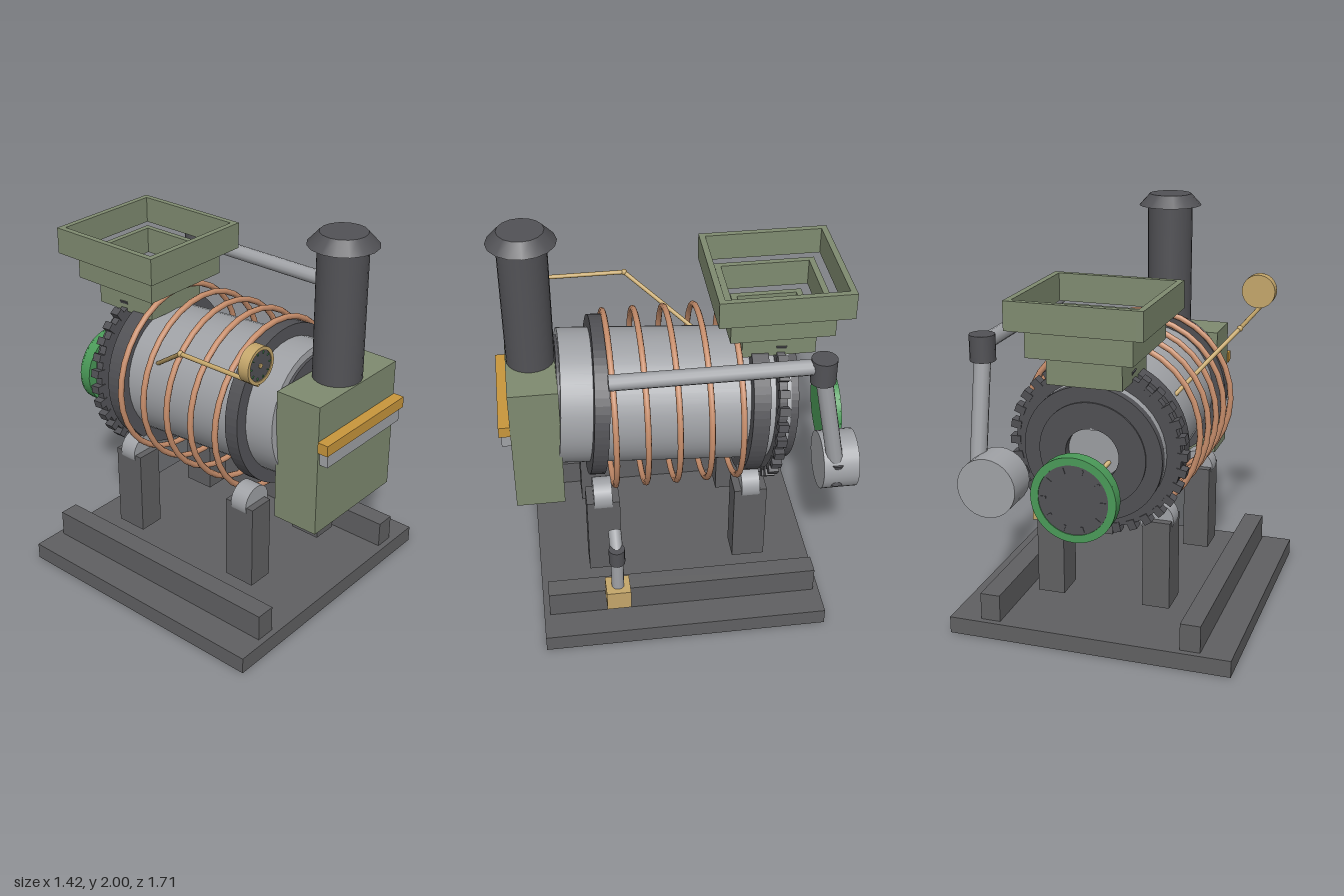
import * as THREE from 'three';

const mat = (name, color, side = THREE.FrontSide) => {
  const m = new THREE.MeshStandardMaterial({ color, side });
  m.name = name;
  return m;
};

export function createModel() {
  const iron = mat('iron', 0x606062);
  const darkIron = mat('dark iron', 0x525256);
  const steel = mat('steel', 0xa0a2a6);
  const olive = mat('olive paint', 0x7f8b70);
  const copper = mat('copper', 0xc98f6c);
  const amber = mat('amber', 0xc8963c);
  const brass = mat('brass', 0xc4a66a);
  const green = mat('bright green', 0x4a9a58);

  const model = new THREE.Group();
  model.name = 'rotaryRoaster';

  const add = (name, geo, material, pos = [0, 0, 0], parent = model) => {
    const mesh = new THREE.Mesh(geo, material);
    mesh.name = name;
    mesh.position.set(...pos);
    parent.add(mesh);
    return mesh;
  };
  // box given by its limits on each axis
  const box = (name, material, x0, x1, y0, y1, z0, z1, parent) =>
    add(name, new THREE.BoxGeometry(x1 - x0, y1 - y0, z1 - z0), material,
      [(x0 + x1) / 2, (y0 + y1) / 2, (z0 + z1) / 2], parent);
  // round bar between two points, r0 at the start and r1 at the end
  const rod = (name, material, a, b, r0, r1 = r0, sides = 12, parent = model) => {
    const p = new THREE.Vector3(...a), q = new THREE.Vector3(...b);
    const dir = q.clone().sub(p);
    const mesh = add(name, new THREE.CylinderGeometry(r1, r0, dir.length(), sides), material,
      p.clone().add(q).multiplyScalar(0.5).toArray(), parent);
    mesh.quaternion.setFromUnitVectors(new THREE.Vector3(0, 1, 0), dir.normalize());
    return mesh;
  };
  // flat ring around z, from z0 to z1
  const ring = (name, material, rOut, rIn, z0, z1, parent = model) => {
    const s = new THREE.Shape().absarc(0, 0, rOut, 0, Math.PI * 2);
    s.holes.push(new THREE.Path().absarc(0, 0, rIn, 0, Math.PI * 2, true));
    const geo = new THREE.ExtrudeGeometry(s, { depth: z1 - z0, bevelEnabled: false, curveSegments: 32 });
    return add(name, geo, material, [0, 0, z0], parent);
  };

  // base, rails, legs and rollers
  box('basePlate', iron, -0.71, 0.71, 0, 0.085, -0.71, 0.71);
  for (const s of [-1, 1]) {
    const x = s * 0.505;
    box('rail', iron, x - 0.05, x + 0.05, 0.085, 0.222, -0.68, 0.68);
    for (const z of [-0.373, 0.373]) {
      const lx = s * 0.27;
      box('leg', iron, lx - 0.068, lx + 0.068, 0.17, 0.615, z - 0.083, z + 0.083);
      rod('roller', steel, [s * 0.26, 0.615, z - 0.046], [s * 0.26, 0.615, z + 0.046], 0.085, 0.085, 24);
    }
  }

  // tilted drum with riding rings, end plates and gear
  const drum = new THREE.Group();
  drum.name = 'drum';
  drum.position.set(0, 1.018, 0);
  drum.rotation.x = -0.072;
  model.add(drum);
  rod('drumShell', steel, [0, 0, -0.55], [0, 0, 0.565], 0.337, 0.337, 40, drum);
  ring('frontRidingRing', darkIron, 0.4, 0.33, 0.337, 0.41, drum);
  ring('backRidingRing', darkIron, 0.4, 0.33, -0.435, -0.352, drum);
  ring('frontPlate', darkIron, 0.3, 0.1, 0.565, 0.58, drum);
  ring('backPlate', darkIron, 0.337, 0.13, -0.588, -0.55, drum);
  ring('backCollar', darkIron, 0.26, 0.13, -0.596, -0.588, drum);
  ring('gearRing', darkIron, 0.405, 0.33, -0.515, -0.475, drum);
  const teeth = 32;
  for (let i = 0; i < teeth; i++) {
    const a = (i / teeth) * Math.PI * 2;
    const tooth = add('gearTooth', new THREE.BoxGeometry(0.05, 0.04, 0.05), darkIron,
      [Math.cos(a) * 0.412, Math.sin(a) * 0.412, -0.495], drum);
    tooth.rotation.z = a;
  }

  // heating coil rings
  for (let i = -2; i <= 2; i++) {
    add('coilRing', new THREE.TorusGeometry(0.44, 0.015, 8, 32), copper, [0, 1.015, i * 0.153]);
  }

  // firebox with front bars and chimney
  box('firebox', olive, -0.3, 0.3, 0.615, 1.29, 0.56, 0.8);
  box('amberBar', amber, -0.305, 0.305, 1.06, 1.115, 0.8, 0.855);
  box('steelBar', steel, -0.287, 0.287, 0.99, 1.058, 0.8, 0.845);
  rod('chimney', darkIron, [0, 1.29, 0.677], [0, 1.95, 0.677], 0.118, 0.118, 24);
  rod('chimneyCap', darkIron, [0, 1.94, 0.677], [0, 2, 0.677], 0.165, 0.11, 16);

  // stepped open hopper
  const hz = -0.51, wall = 0.03;
  [[0.321, 1.6, 1.735], [0.252, 1.465, 1.6], [0.18, 1.328, 1.465]].forEach(([h, y0, y1]) => {
    const tier = new THREE.Group();
    tier.name = 'hopperTier';
    model.add(tier);
    for (const s of [-1, 1]) {
      const c = s * (h - wall / 2);
      box('sideWall', olive, c - wall / 2, c + wall / 2, y0, y1, hz - h, hz + h, tier);
      box('endWall', olive, -h + wall, h - wall, y0, y1, hz + c - wall / 2, hz + c + wall / 2, tier);
    }
  });
  rod('feedSpout', steel, [0, 1.1, -0.52], [0, 1.4, -0.52], 0.085, 0.07, 20);

  // exhaust pipe, elbows and blower
  rod('upperPipe', steel, [0.505, 1.48, -0.64], [0.505, 1.48, 0.34], 0.038);
  rod('upperElbow', darkIron, [0.508, 1.4, -0.645], [0.508, 1.525, -0.645], 0.061, 0.061, 16);
  rod('downPipe', steel, [0.508, 1.42, -0.648], [0.508, 0.88, -0.748], 0.04);
  rod('lowerElbowTop', darkIron, [0.53, 0.855, -0.748], [0.53, 0.915, -0.748], 0.018, 0.036);
  rod('lowerElbowBase', darkIron, [0.53, 0.795, -0.748], [0.53, 0.855, -0.748], 0.036, 0.018);
  rod('blower', steel, [0.422, 0.855, -0.855], [0.422, 0.855, -0.68], 0.143, 0.143, 28);

  // drain tap
  box('tapBlock', brass, 0.55, 0.668, 0.205, 0.31, 0.275, 0.395);
  rod('tapPipe', steel, [0.609, 0.31, 0.335], [0.609, 0.48, 0.335], 0.031);
  rod('tapElbow', darkIron, [0.609, 0.468, 0.335], [0.609, 0.555, 0.335], 0.04);
  rod('tapInlet', steel, [0.609, 0.522, 0.335], [0.51, 0.583, 0.335], 0.032);

  // round dial: body, rim, face and tick marks, facing local +z
  const dial = (name, r, depth, body, tick, pos, backward) => {
    const g = new THREE.Group();
    g.name = name;
    g.position.set(...pos);
    if (backward) g.rotation.y = Math.PI;
    model.add(g);
    rod('dialBody', body, [0, 0, -depth / 2], [0, 0, depth / 2 - 0.008], r, r, 28, g);
    ring('dialRim', body, r, r * 0.82, depth / 2 - 0.008, depth / 2, g);
    rod('dialFace', darkIron, [0, 0, 0], [0, 0, depth / 2 - 0.004], r * 0.82, r * 0.82, 28, g);
    for (let i = 0; i < 10; i++) {
      const a = (i / 10) * Math.PI * 2;
      const t = add('dialTick', new THREE.BoxGeometry(r * 0.13, r * 0.05, 0.004), tick,
        [Math.cos(a) * r * 0.7, Math.sin(a) * r * 0.7, depth / 2 - 0.002], g);
      t.rotation.z = a;
    }
    return g;
  };
  const gauge = dial('thermometerDial', 0.088, 0.055, brass, green, [-0.51, 1.525, 0.605], false);
  rod('dialHub', brass, [0, 0, 0.02], [0, 0, 0.029], 0.011, 0.011, 12, gauge);
  dial('backDial', 0.204, 0.065, green, darkIron, [0, 0.85, -0.822], true);

  // probe rod from the front dial through the drum
  const bend = [-0.51, 1.43, 0.165];
  rod('probeStem', brass, [-0.51, 1.43, 0.62], bend, 0.011);
  rod('probe', brass, bend, [0, 0.855, -0.645], 0.011);
  add('probeJoint', new THREE.SphereGeometry(0.016, 12, 8), brass, bend);

  return model;
}
